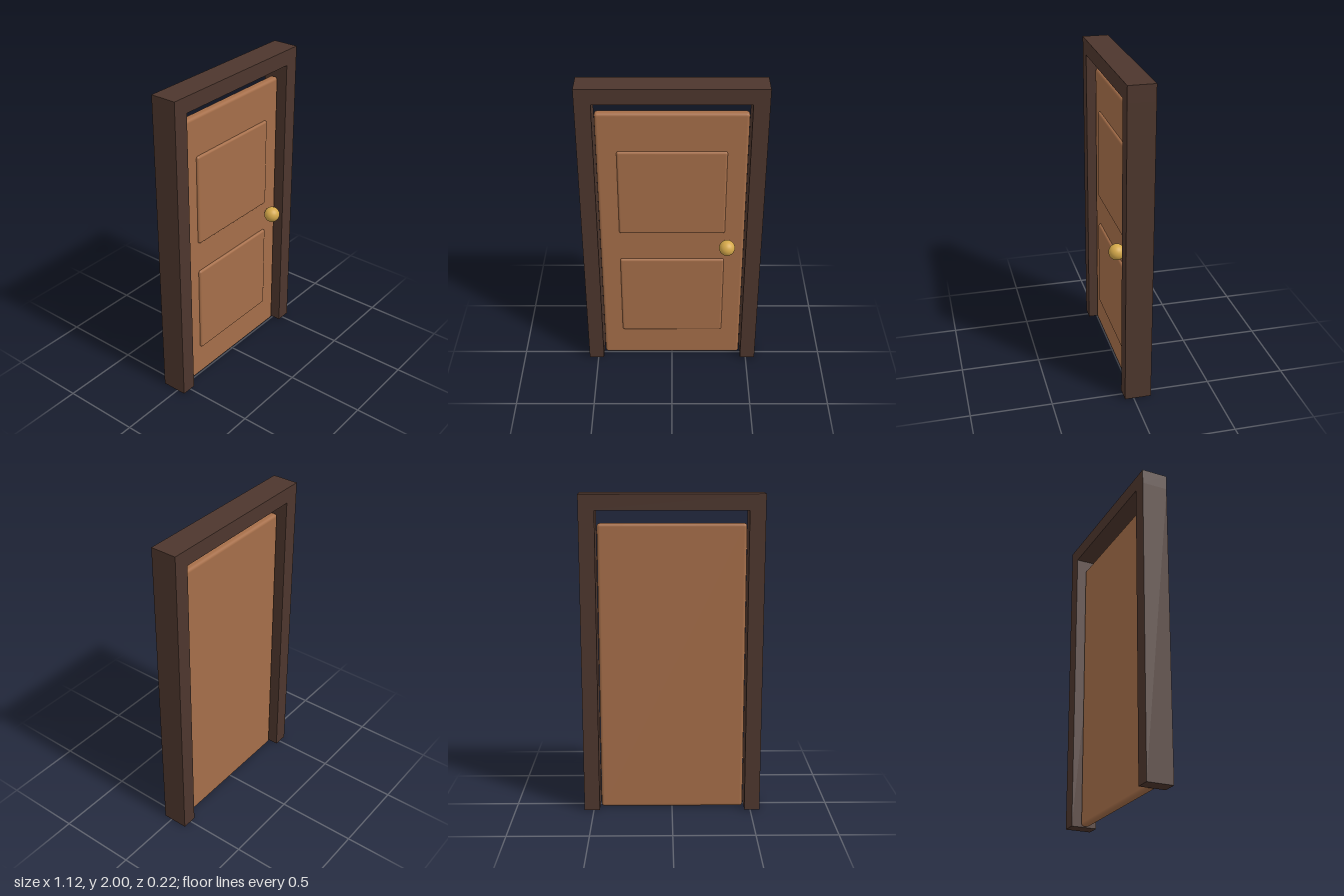
import * as THREE from 'three';
import { RoundedBoxGeometry } from 'three/addons/geometries/RoundedBoxGeometry.js';

const material = (name, color) => {
  const m = new THREE.MeshStandardMaterial({ color });
  m.name = name;
  return m;
};

export function createModel() {
  const group = new THREE.Group();
  group.name = 'door';
  const darkWood = material('dark wood', 0x4d362d);
  const warmWood = material('warm wood', 0xa56e49);
  const brass = material('brass', 0xd4a84a);

  const add = (name, geometry, mat, x, y, z) => {
    const mesh = new THREE.Mesh(geometry, mat);
    mesh.name = name;
    mesh.position.set(x, y, z);
    group.add(mesh);
  };

  const midZ = -0.0275; // middle of the frame and of the door leaf
  const depth = 0.165;
  const post = 0.097;
  const lintel = 0.097;

  // Frame: two posts under a lintel
  for (const side of [-1, 1]) {
    const name = side > 0 ? 'leftPost' : 'rightPost';
    add(name, new THREE.BoxGeometry(post, 2 - lintel, depth), darkWood,
      side * (0.56 - post / 2), (2 - lintel) / 2, midZ);
  }
  add('lintel', new THREE.BoxGeometry(1.12, lintel, depth), darkWood, 0, 2 - lintel / 2, midZ);

  // Door leaf with softened edges
  add('doorLeaf', new RoundedBoxGeometry(0.908, 1.82, 0.055, 4, 0.019), warmWood, 0, 0.91, midZ);

  // Raised panels, half sunk into the front of the leaf
  for (const [name, y] of [['lowerPanel', 0.5], ['upperPanel', 1.282]]) {
    add(name, new RoundedBoxGeometry(0.662, 0.582, 0.032, 4, 0.014), warmWood, 0, y, -0.001);
  }

  // Round knob
  add('knob', new THREE.SphereGeometry(0.05, 32, 20), brass, 0.345, 0.913, 0.056);

  return group;
}
